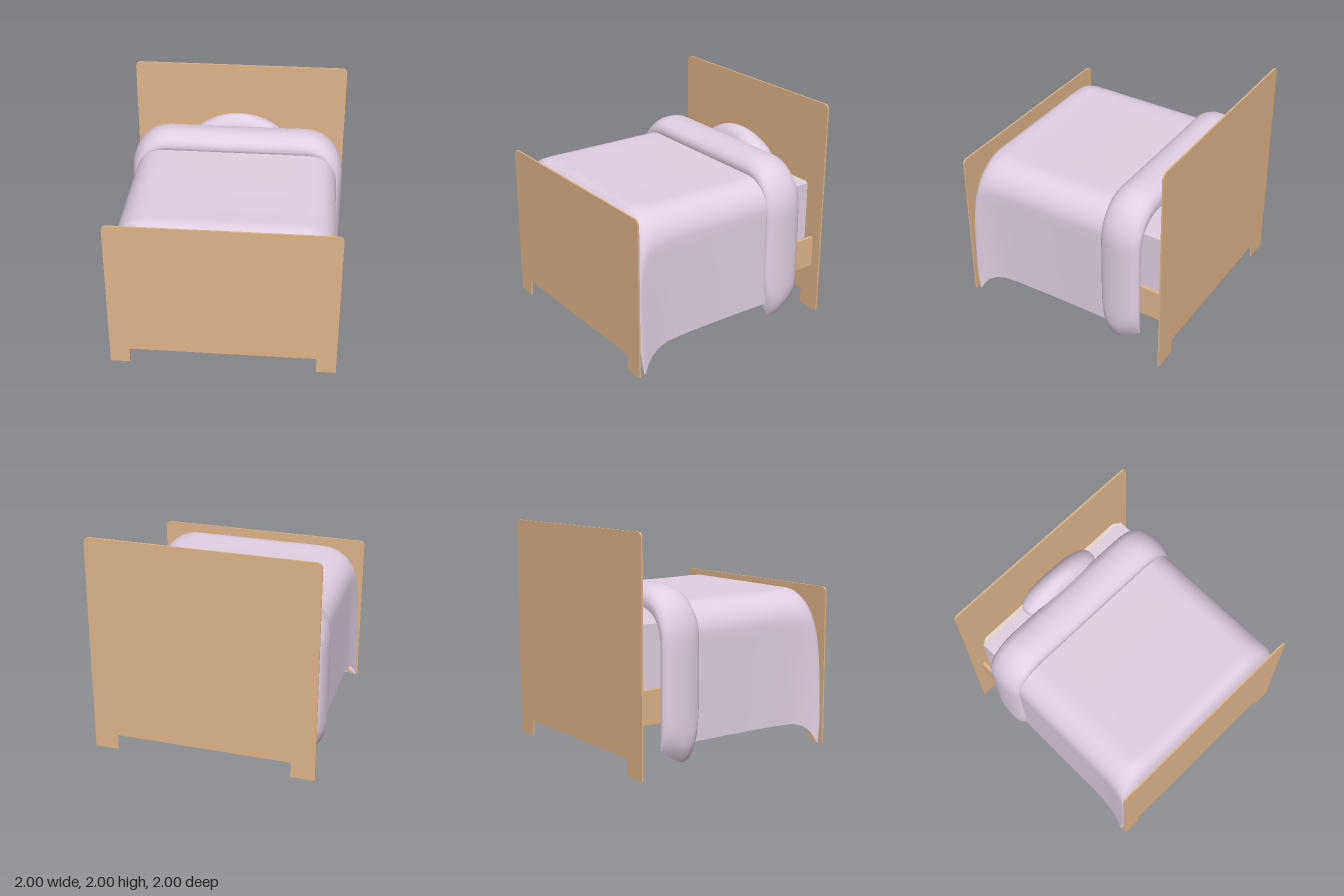
import * as THREE from 'three';

const wood = new THREE.MeshStandardMaterial({ color: 0xdeb488 });
wood.name = 'wood';
const fabric = new THREE.MeshStandardMaterial({ color: 0xe0d0e2, side: THREE.DoubleSide });
fabric.name = 'lilac fabric';
const ticking = new THREE.MeshStandardMaterial({ color: 0xe4d9d0 });
ticking.name = 'mattress beige';

function add(group, name, geometry, material, x = 0, y = 0, z = 0) {
  const mesh = new THREE.Mesh(geometry, material);
  mesh.name = name;
  mesh.position.set(x, y, z);
  group.add(mesh);
}

// End board with rounded top corners and two feet
function boardGeometry(height, footInner, depth) {
  const r = 0.045, s = new THREE.Shape();
  s.moveTo(-1, 0);
  s.lineTo(-footInner, 0);
  s.lineTo(-footInner, 0.145);
  s.lineTo(footInner, 0.145);
  s.lineTo(footInner, 0);
  s.lineTo(1, 0);
  s.lineTo(1, height - r);
  s.absarc(1 - r, height - r, r, 0, Math.PI / 2);
  s.lineTo(-1 + r, height);
  s.absarc(-1 + r, height - r, r, Math.PI / 2, Math.PI);
  return new THREE.ExtrudeGeometry(s, { depth, bevelEnabled: false, curveSegments: 6 });
}

// Skin a list of equally long rows of [x, y, z] points
function skin(rows) {
  const n = rows[0].length, index = [];
  for (let i = 0; i < rows.length - 1; i++) {
    for (let j = 0; j < n - 1; j++) {
      const a = i * n + j, b = a + n;
      index.push(a, b, a + 1, b, b + 1, a + 1);
    }
  }
  const g = new THREE.BufferGeometry();
  g.setAttribute('position', new THREE.Float32BufferAttribute(rows.flat(2), 3));
  g.setIndex(index);
  g.computeVertexNormals();
  return g;
}

// Upside-down U from the +x hem over the top to the -x hem
function arch(w, top, r, hem) {
  const half = [];
  for (let i = 0; i < 12; i++) {
    const t = i / 12;
    half.push({ x: w, y: hem + (top - r - hem) * t, nx: 1, ny: 0, t });
  }
  for (let i = 0; i <= 8; i++) {
    const a = (i / 8) * Math.PI / 2, c = Math.cos(a), s = Math.sin(a);
    half.push({ x: w - r + r * c, y: top - r + r * s, nx: c, ny: s, t: 1 });
  }
  for (let i = 1; i <= 5; i++) half.push({ x: (w - r) * (1 - i / 5), y: top, nx: 0, ny: 1, t: 1 });
  const mirrored = half.slice(0, -1).reverse().map(p => ({ ...p, x: -p.x, nx: -p.nx }));
  return half.concat(mirrored);
}

// Duvet: arches along z, then a front panel hanging at the foot, tucked in towards its hem
function duvetGeometry() {
  const stations = [ // z, top, hem, flare at the hem, corner radius
    [-0.6, 1.39, 0.23, 0, 0.26], [-0.3, 1.39, 0.23, 0, 0.26], [0.1, 1.39, 0.23, 0, 0.26],
    [0.5, 1.39, 0.225, 0.002, 0.26], [0.68, 1.395, 0.215, 0.008, 0.27], [0.78, 1.4, 0.185, 0.02, 0.29],
    [0.85, 1.4, 0.135, 0.032, 0.31], [0.9, 1.372, 0.085, 0.042, 0.33], [0.932, 1.31, 0.045, 0.05, 0.35],
    [0.953, 1.21, 0.02, 0.055, 0.37], [0.967, 1.05, 0.01, 0.055, 0.38],
  ];
  const tuck = y => 0.035 * Math.max(0, 1 - y / 0.35) ** 2;
  const rows = stations.map(([z, top, hem, flare, r]) =>
    arch(0.938, top, r, hem).map(p => {
      const low = 1 - (p.y - hem) / (top - hem);
      const pull = Math.max(0, (z - 0.85) / 0.117);
      return [p.x + p.nx * flare * (0.3 + 0.7 * low), p.y, z - tuck(p.y) * pull];
    }));
  const last = rows[rows.length - 1];
  for (let i = 1; i <= 5; i++) {
    const t = i / 5;
    rows.push(last.map(([x, y]) => {
      const u = Math.min(1, Math.abs(x) / 0.993);
      const hem = 0.01 + 0.27 * (1 - u * u * u);
      const py = y + (hem - y) * t;
      return [x, py, 0.967 + 0.008 * Math.sin(t * Math.PI) - tuck(py)];
    }));
  }
  return skin(rows);
}

// Turned-down fold: a D-shaped section swept over the bed, thinning out at the hems
function foldGeometry() {
  const section = [ // z, thickness, hem height
    [-0.75, 0, 0.2], [-0.755, 0.25, 0.2], [-0.75, 0.5, 0.195], [-0.72, 0.76, 0.17],
    [-0.66, 0.94, 0.125], [-0.58, 1, 0.075], [-0.52, 0.98, 0.06], [-0.46, 0.87, 0.08],
    [-0.415, 0.7, 0.18], [-0.392, 0.52, 0.32], [-0.385, 0.32, 0.45], [-0.395, 0, 0.45],
    [-0.46, 0, 0.08], [-0.58, 0, 0.075], [-0.66, 0, 0.125], [-0.75, 0, 0.2],
  ];
  return skin(section.map(([z, k, hem]) =>
    arch(0.905, 1.36, 0.27, hem).map(p => {
      const thick = (0.09 + 0.085 * p.ny * p.ny) * k * Math.sqrt(Math.min(1, p.t / 0.2));
      return [p.x + p.nx * thick, p.y + p.ny * thick, z];
    })));
}

// Plump pillow: squared-off in plan, domed towards its middle, deeper below and leaning forward
function pillowGeometry() {
  const g = new THREE.SphereGeometry(1, 32, 20), pos = g.attributes.position;
  for (let i = 0; i < pos.count; i++) {
    const x = pos.getX(i), y = pos.getY(i), z = pos.getZ(i);
    const k = Math.pow(Math.abs(x) ** 3 + Math.hypot(y, z) ** 3, -1 / 3);
    const dome = 1 - 0.6 * (x * k) ** 2;
    const height = y < 0 ? 0.28 : 0.197;
    pos.setXYZ(i, x * k * 0.405, y * k * dome * height, z * k * 0.135 + 0.03 * y);
  }
  g.computeVertexNormals();
  return g;
}

// Mattress outline with rounded corners, extruded upwards
function mattressGeometry(w, l, height) {
  const r = 0.07, s = new THREE.Shape();
  s.absarc(w - r, l - r, r, 0, Math.PI / 2);
  s.absarc(-w + r, l - r, r, Math.PI / 2, Math.PI);
  s.absarc(-w + r, -l + r, r, Math.PI, Math.PI * 1.5);
  s.absarc(w - r, -l + r, r, Math.PI * 1.5, Math.PI * 2);
  const g = new THREE.ExtrudeGeometry(s, { depth: height, bevelEnabled: false, curveSegments: 4 });
  return g.rotateX(-Math.PI / 2);
}

export function createModel() {
  const bed = new THREE.Group();
  bed.name = 'bed';

  // Wooden frame
  add(bed, 'headboard', boardGeometry(2, 0.785, 0.015), wood, 0, 0, -1);
  add(bed, 'footboard', boardGeometry(1.43, 0.825, 0.015), wood, 0, 0, 0.985);
  for (const side of [1, -1]) {
    add(bed, side > 0 ? 'leftRail' : 'rightRail', new THREE.BoxGeometry(0.03, 0.285, 1.957), wood, side * 0.895, 0.5775, -0.0065);
  }

  // Mattress and fitted sheet
  add(bed, 'mattress', mattressGeometry(0.855, 0.95, 0.675), ticking, 0, 0.565, -0.015);
  add(bed, 'sheet', new THREE.BoxGeometry(1.73, 0.65, 1.785), fabric, 0, 0.925, -0.0325);

  // Bedding
  add(bed, 'duvet', duvetGeometry(), fabric);
  add(bed, 'duvetFold', foldGeometry(), fabric);
  add(bed, 'pillow', pillowGeometry(), fabric, 0, 1.378, -0.842);

  return bed;
}
